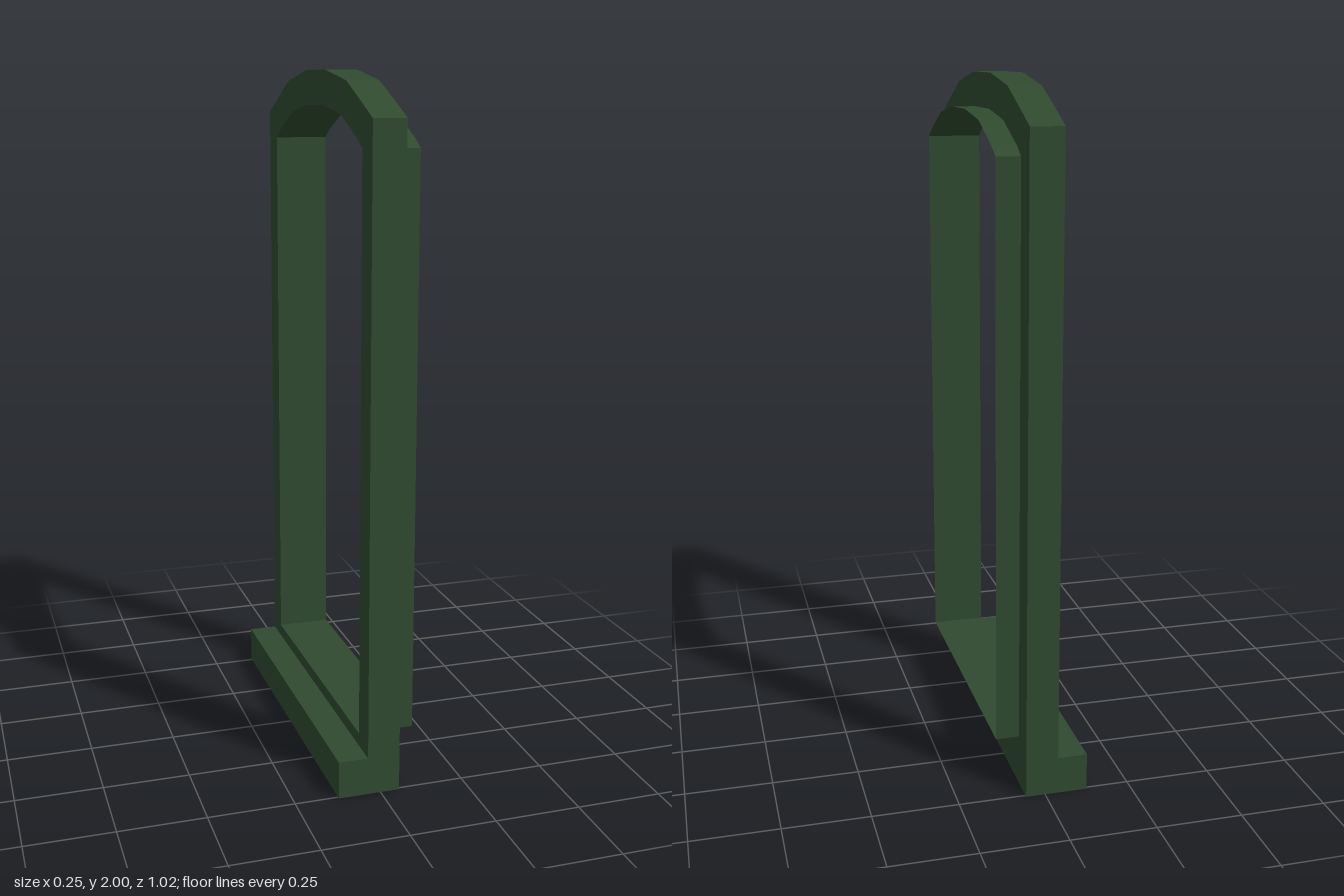
import * as THREE from 'three';

// Mirror a half profile (from spring line to crown) into a full arch, listed left to right
const mirrorArch = half => [
  ...half.map(([u, y]) => new THREE.Vector2(-u, y)),
  ...half.slice().reverse().map(([u, y]) => new THREE.Vector2(u, y)),
];

export function createModel() {
  const group = new THREE.Group();
  group.name = 'archedWindowFrame';

  const green = new THREE.MeshStandardMaterial({ color: 0x2f4a2f, side: THREE.DoubleSide });
  green.name = 'darkGreen';

  const backX = -0.038, frontX = 0.056, liningX = 0.124;
  const outer = mirrorArch([[0.508, 0], [0.508, 1.876], [0.435, 1.908], [0.287, 1.97], [0.097, 2]]);
  const inner = mirrorArch([[0.426, 0.148], [0.426, 1.797], [0.381, 1.823], [0.24, 1.88], [0.083, 1.902]]);

  // Arched frame with its opening, extruded along x
  const shape = new THREE.Shape(outer);
  shape.holes.push(new THREE.Path(inner));
  const frameGeo = new THREE.ExtrudeGeometry(shape, { depth: frontX - backX, bevelEnabled: false });
  frameGeo.rotateY(Math.PI / 2).translate(backX, 0, 0);
  const frame = new THREE.Mesh(frameGeo, green);
  frame.name = 'frame';
  group.add(frame);

  // Thin lining that carries the opening's edge beyond the frame
  const positions = [];
  inner.forEach((a, i) => {
    const b = inner[(i + 1) % inner.length];
    const a0 = [frontX, a.y, -a.x], a1 = [liningX, a.y, -a.x];
    const b0 = [frontX, b.y, -b.x], b1 = [liningX, b.y, -b.x];
    positions.push(...a0, ...a1, ...b1, ...a0, ...b1, ...b0);
  });
  const liningGeo = new THREE.BufferGeometry();
  liningGeo.setAttribute('position', new THREE.Float32BufferAttribute(positions, 3));
  liningGeo.computeVertexNormals();
  const lining = new THREE.Mesh(liningGeo, green);
  lining.name = 'openingLining';
  group.add(lining);

  // Projecting sill
  const sillDepth = backX + 0.124;
  const sill = new THREE.Mesh(new THREE.BoxGeometry(sillDepth, 0.11, 1.016), green);
  sill.position.set(backX - sillDepth / 2, 0.055, 0);
  sill.name = 'sill';
  group.add(sill);

  return group;
}
